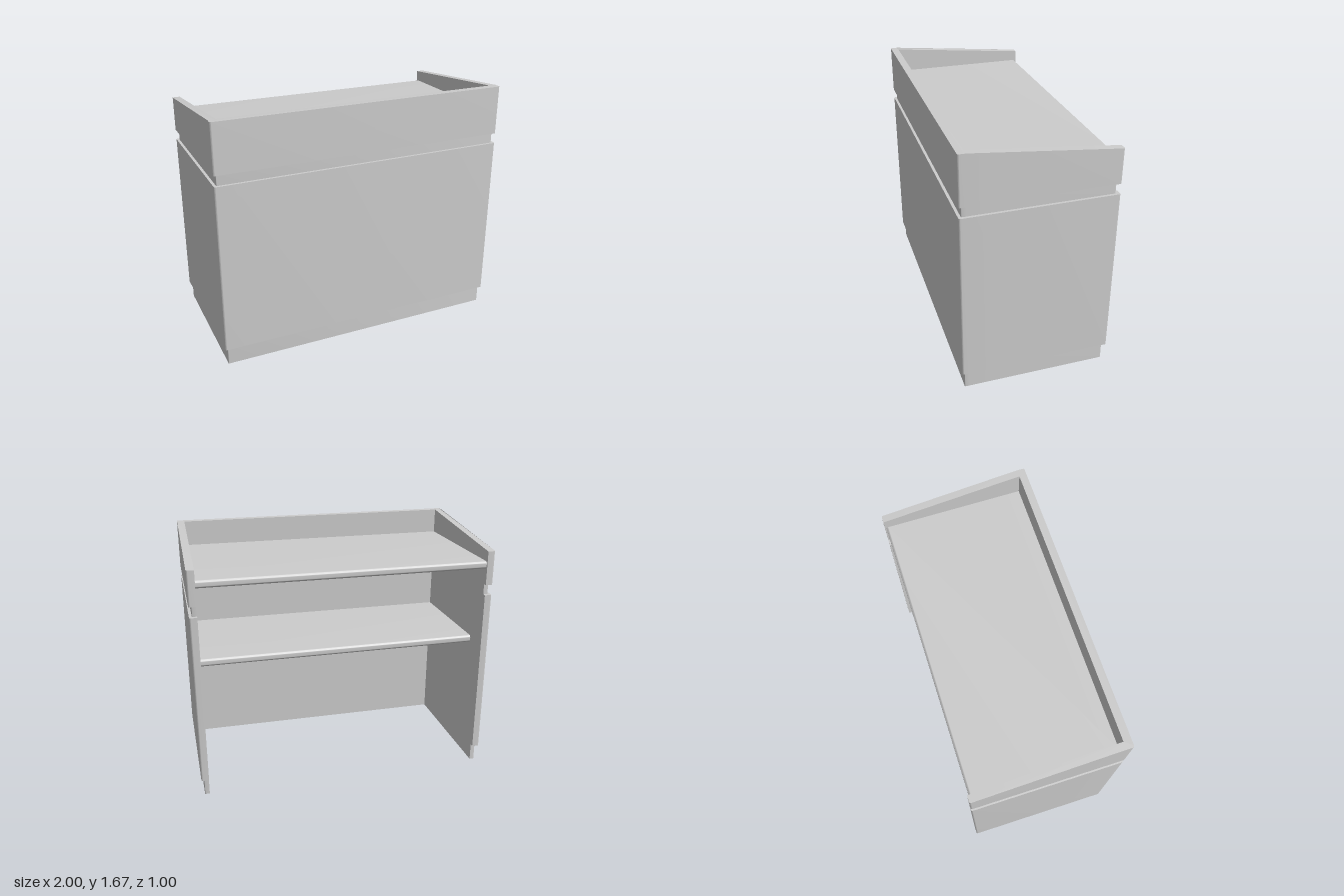
import * as THREE from 'three';
import { toCreasedNormals } from 'three/addons/utils/BufferGeometryUtils.js';

const INNER_X = 0.95, INNER_Z = 0.45;
const material = new THREE.MeshStandardMaterial({ color: 0xcccccc });

function addMesh(group, name, geometry) {
  const mesh = new THREE.Mesh(toCreasedNormals(geometry, 0.6), material);
  mesh.name = name;
  group.add(mesh);
}

// U-shaped wall plan, open at the back, with softened outer corners
function wallPlan(x, front, back, r) {
  const s = new THREE.Shape();
  s.moveTo(-x + r, -front);
  s.lineTo(x - r, -front);
  s.absarc(x - r, -front + r, r, -Math.PI / 2, 0, false);
  s.lineTo(x, -INNER_Z);
  s.lineTo(x, -back - r);
  s.absarc(x - r, -back - r, r, 0, Math.PI / 2, false);
  s.lineTo(INNER_X, -back);
  s.lineTo(INNER_X, -INNER_Z);
  s.lineTo(-INNER_X, -INNER_Z);
  s.lineTo(-INNER_X, -back);
  s.lineTo(-x + r, -back);
  s.absarc(-x + r, -back - r, r, Math.PI / 2, Math.PI, false);
  s.lineTo(-x, -INNER_Z);
  s.lineTo(-x, -front + r);
  s.absarc(-x + r, -front + r, r, Math.PI, Math.PI * 1.5, false);
  return s;
}

function wallBand(y0, y1, x, front, back, r) {
  const g = new THREE.ExtrudeGeometry(wallPlan(x, front, back, r), {
    depth: y1 - y0, bevelEnabled: false, curveSegments: 3,
  });
  return g.rotateX(-Math.PI / 2).translate(0, y0, 0);
}

// Board between the side walls with a rounded rear edge
function board(top, thickness, back) {
  const r = 0.016, bottom = top - thickness;
  const s = new THREE.Shape();
  s.moveTo(INNER_Z, bottom);
  s.lineTo(INNER_Z, top);
  s.lineTo(back + r, top);
  s.absarc(back + r, top - r, r, Math.PI / 2, Math.PI, false);
  s.lineTo(back, bottom + r);
  s.absarc(back + r, bottom + r, r, Math.PI, Math.PI * 1.5, false);
  const g = new THREE.ExtrudeGeometry(s, {
    depth: INNER_X * 2, bevelEnabled: false, curveSegments: 4,
  });
  return g.rotateY(-Math.PI / 2).translate(INNER_X, 0, 0);
}

export function createModel() {
  const group = new THREE.Group();
  group.name = 'counter';

  // Recessed plinth, main body and shadow gap
  addMesh(group, 'plinth', wallBand(0, 0.12, 0.982, 0.482, -0.475, 0.006));
  addMesh(group, 'bodyWalls', wallBand(0.12, 1.27, 1, 0.5, -0.5, 0.01));
  addMesh(group, 'shadowGap', wallBand(1.27, 1.34, 0.982, 0.482, -0.475, 0.006));

  // Upper surround, its sides sloping down toward the back
  const upper = wallBand(1.34, 1.67, 1, 0.5, -0.5, 0.01);
  const p = upper.attributes.position;
  for (let i = 0; i < p.count; i++) {
    if (p.getY(i) > 1.5) {
      p.setY(i, 1.67 - Math.max(0, INNER_Z - p.getZ(i)) * 0.1 / 0.95);
    }
  }
  addMesh(group, 'upperSurround', upper);

  // Work surface and the shelf below it
  addMesh(group, 'worktop', board(1.5, 0.05, -0.49));
  addMesh(group, 'shelf', board(0.92, 0.05, -0.33));

  return group;
}
